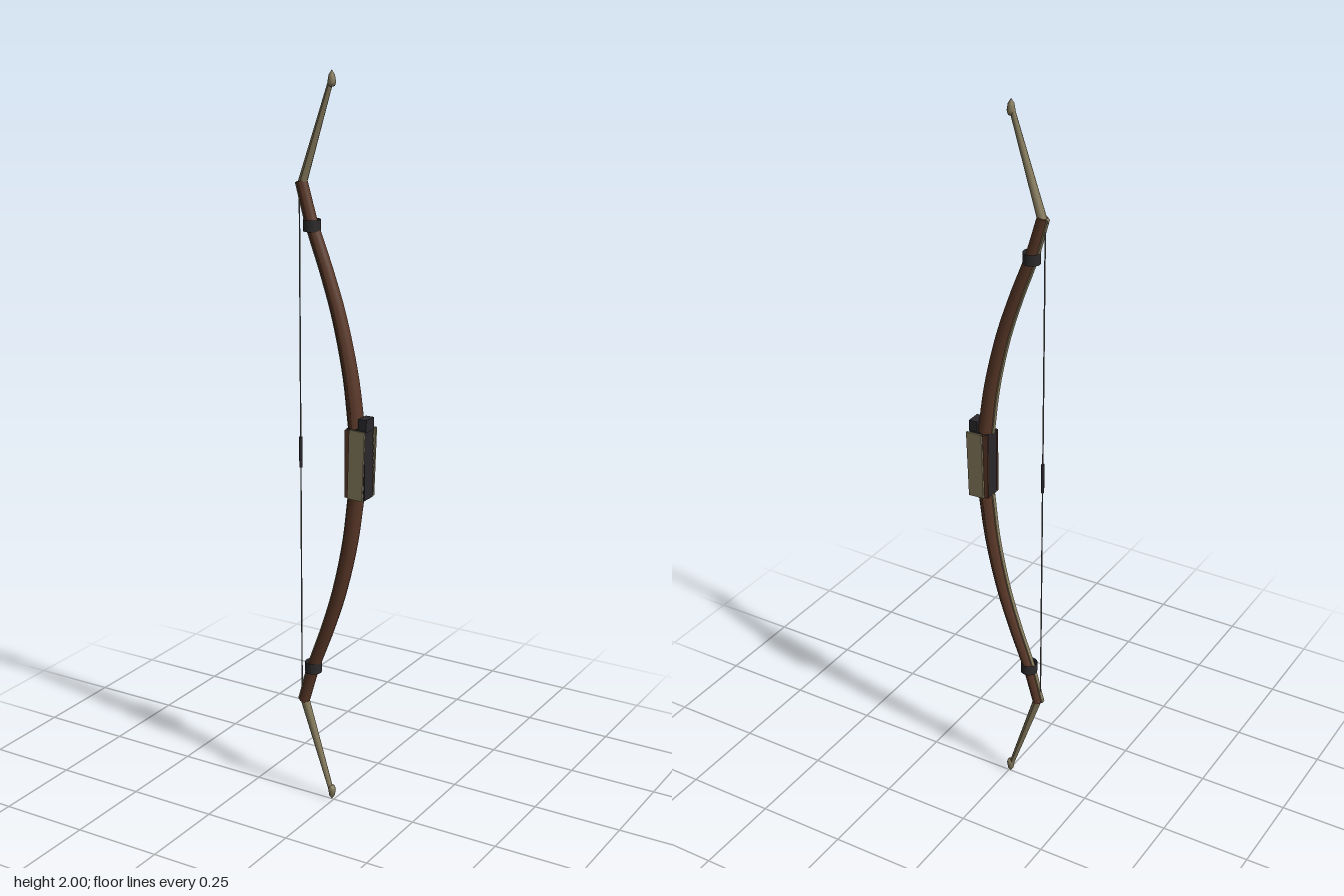
import * as THREE from 'three';

const mat = (name, color, side = THREE.FrontSide) => {
  const m = new THREE.MeshStandardMaterial({ color, side });
  m.name = name;
  return m;
};

export function createModel() {
  const wood = mat('wood', 0x5a3828);
  const bone = mat('bone', 0x857a5c);
  const leather = mat('dark leather', 0x2a282b);
  const collarLeather = mat('collar leather', 0x2c2a2b, THREE.DoubleSide);
  const cord = mat('cord', 0x6a6862);

  const add = (parent, name, geo, material, x = 0, y = 0, z = 0) => {
    const m = new THREE.Mesh(geo, material);
    m.name = name;
    m.position.set(x, y, z);
    parent.add(m);
    return m;
  };

  // Bends a unit-high geometry along a curve in the xy plane;
  // place(t, x, z) gives the offsets across the curve and along z
  const bend = (geo, curve, place) => {
    const pos = geo.attributes.position;
    for (let i = 0; i < pos.count; i++) {
      const t = THREE.MathUtils.clamp(pos.getY(i) + 0.5, 0, 1);
      const p = curve.getPointAt(t);
      const d = curve.getTangentAt(t);
      const [across, z] = place(t, pos.getX(i), pos.getZ(i));
      pos.setXYZ(i, p.x + d.y * across, p.y - d.x * across, z);
    }
    geo.computeVertexNormals();
    return geo;
  };

  const lerp = THREE.MathUtils.lerp;
  const v = (x, y) => new THREE.Vector3(x, y, 0);

  // Half bow, measured upward from the middle of the grip
  const limbCurve = new THREE.CatmullRomCurve3([
    v(0.069, 0.095), v(0.051, 0.23), v(0.017, 0.38), v(-0.022, 0.5), v(-0.063, 0.61), v(-0.095, 0.72),
  ]);
  const thick = (t) => lerp(0.021, 0.015, t);
  const wide = (t) => lerp(0.023, 0.014, t);
  const tipCurve = new THREE.LineCurve3(v(-0.094, 0.712), v(-0.009, 0.972));

  const makeHalf = (name) => {
    const g = new THREE.Group();
    g.name = name;
    add(g, 'limb', bend(new THREE.CylinderGeometry(1, 1, 1, 12, 20), limbCurve,
      (t, x, z) => [x * thick(t), z * wide(t)]), wood);
    // thin inlay down the string side of the limb
    add(g, 'bellyStrip', bend(new THREE.BoxGeometry(1, 1, 1, 1, 20, 1), limbCurve,
      (t, x, z) => [x * 0.004 - thick(t), z * 0.012]), bone);
    // recurved end and its point
    add(g, 'limbTip', bend(new THREE.CylinderGeometry(1, 1, 1, 8, 1), tipCurve,
      (t, x, z) => [x * lerp(0.012, 0.007, t), z * lerp(0.013, 0.007, t)]), bone);
    const point = new THREE.LatheGeometry([[0, -0.02], [0.008, -0.018], [0.011, -0.008], [0.008, 0.01], [0, 0.022]]
      .map(([x, y]) => new THREE.Vector2(x, y)), 10);
    add(g, 'tipPoint', point, bone, -0.006, 0.978);
    // open band around the limb
    add(g, 'collar', new THREE.CylinderGeometry(0.023, 0.023, 0.03, 20, 1, true), collarLeather, -0.065, 0.61);
    add(g, 'stringKnot', new THREE.SphereGeometry(0.006, 10, 8), bone, -0.107, 0.712);
    return g;
  };

  const bow = new THREE.Group();
  bow.name = 'bow';
  const upper = makeHalf('upperHalf');
  const lower = makeHalf('lowerHalf');
  lower.rotation.x = Math.PI;
  upper.position.y = lower.position.y = 1;
  bow.add(upper, lower);

  // Grip: core, wrapped bands, arrow rest and side plates
  const grip = new THREE.Group();
  grip.name = 'grip';
  grip.position.y = 1;
  bow.add(grip);
  add(grip, 'gripCore', new THREE.BoxGeometry(0.054, 0.19, 0.042), leather, 0.078, 0);
  for (let i = 0; i < 9; i++) {
    add(grip, 'gripBand', new THREE.BoxGeometry(0.042, 0.012, 0.054), leather, 0.083, -0.08 + i * 0.02);
  }
  add(grip, 'arrowRest', new THREE.BoxGeometry(0.024, 0.034, 0.04), leather, 0.097, 0.107);
  for (const s of [-1, 1]) {
    const plate = new THREE.Shape([[0.06, -0.092], [0.104, -0.094], [0.111, 0.094], [0.065, 0.096]]
      .map(([x, y]) => new THREE.Vector2(x, y)));
    add(grip, 'gripPlate', new THREE.ExtrudeGeometry(plate, { depth: 0.006, bevelEnabled: false }),
      bone, 0, 0, s * 0.03 - 0.003);
    // darker wooden edge behind each plate
    add(grip, 'plateEdge', new THREE.BoxGeometry(0.016, 0.184, 0.006), wood, 0.057, 0, s * 0.024);
  }

  // String with its serving
  add(bow, 'string', new THREE.CylinderGeometry(0.0018, 0.0018, 1.43, 6), cord, -0.102, 1);
  add(bow, 'stringServing', new THREE.CylinderGeometry(0.0045, 0.0045, 0.084, 8), leather, -0.102, 1);

  return bow;
}
